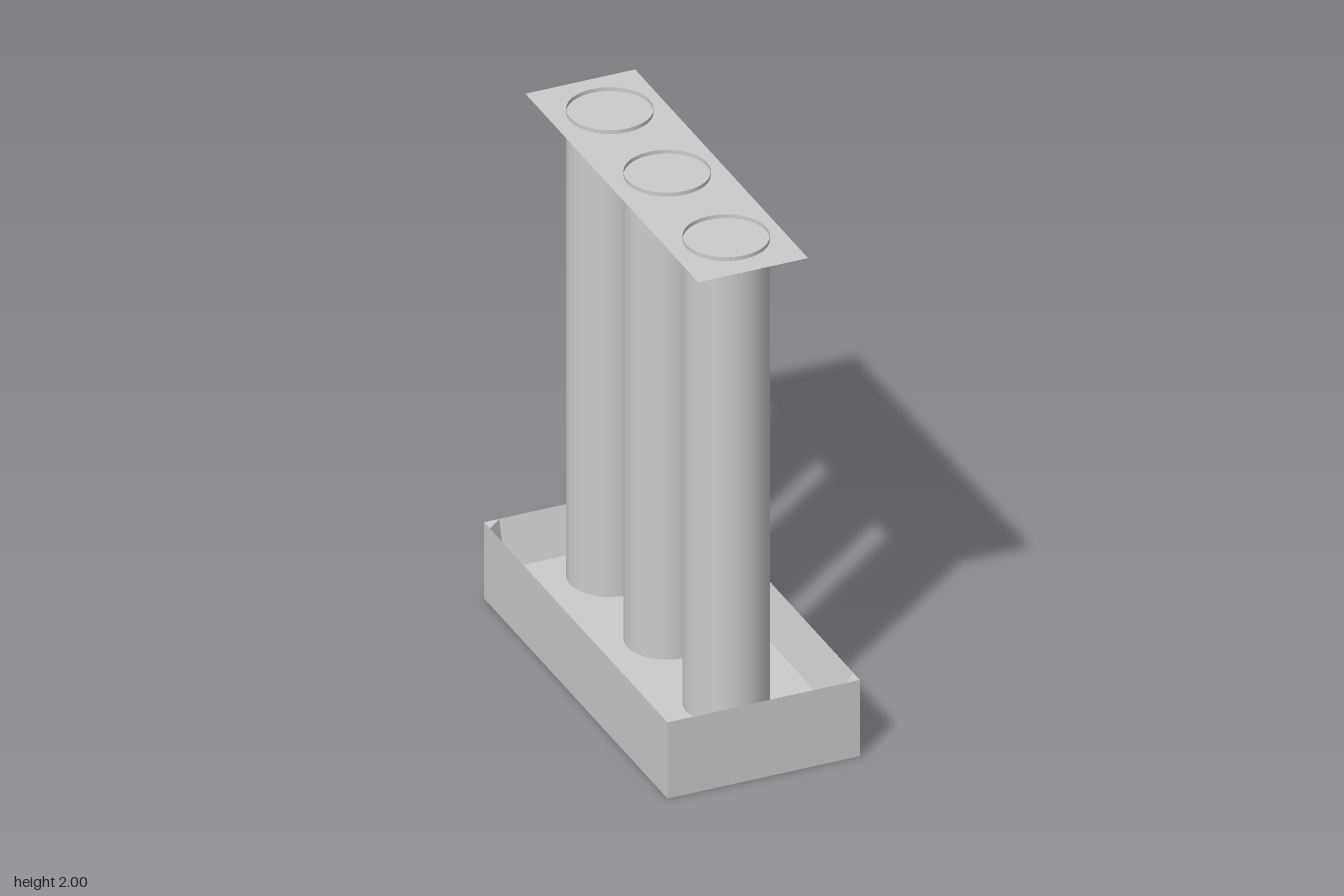
import * as THREE from 'three';

const material = new THREE.MeshStandardMaterial({ color: 0xcccccc, side: THREE.DoubleSide });

// Outer shell of the basin, inner floor rectangle and heights
const OUT = { x: 0.368, z: 0.78 };
const FLOOR = { x0: -0.31, x1: 0.32, z0: -0.73, z1: 0.72 };
const RIM_Y = 0.305, FLOOR_Y = 0.13;

function addMesh(parent, name, geometry) {
  const mesh = new THREE.Mesh(geometry, material);
  mesh.name = name;
  parent.add(mesh);
  return mesh;
}

// Flat-faced geometry from a list of convex polygons (corners counter-clockwise from outside)
function facesGeometry(faces) {
  const pos = [];
  for (const f of faces)
    for (let i = 1; i < f.length - 1; i++) pos.push(...f[0], ...f[i], ...f[i + 1]);
  const g = new THREE.BufferGeometry();
  g.setAttribute('position', new THREE.Float32BufferAttribute(pos, 3));
  g.computeVertexNormals();
  return g;
}

function createBasin() {
  const { x0, x1, z0, z1 } = FLOOR;
  // corner signs, counter-clockwise seen from above
  const signs = [[-1, 1], [1, 1], [1, -1], [-1, -1]];
  const corners = signs.map(([sx, sz]) => {
    const fx = sx > 0 ? x1 : x0, fz = sz > 0 ? z1 : z0;
    const ox = sx * OUT.x, oz = sz * OUT.z;
    const onX = [ox, RIM_Y, fz], onZ = [fx, RIM_Y, oz];
    // rim points just before and after the corner, going round
    const [before, after] = sx * sz < 0 ? [onX, onZ] : [onZ, onX];
    return { base: [ox, 0, oz], top: [ox, RIM_Y, oz], floor: [fx, FLOOR_Y, fz], before, after };
  });
  const outer = [corners.map(c => c.base).reverse()];
  const inner = [corners.map(c => c.floor)];
  corners.forEach((c, i) => {
    const n = corners[(i + 1) % 4];
    outer.push([c.base, n.base, n.top, c.top]);
    inner.push([c.after, n.before, n.floor, c.floor]); // sloping side
    inner.push([c.before, c.after, c.floor]);          // slanted corner
    inner.push([c.before, c.top, c.after]);            // flat corner of the rim
  });
  const basin = new THREE.Group();
  basin.name = 'basin';
  addMesh(basin, 'basinShell', facesGeometry(outer));
  addMesh(basin, 'basinInside', facesGeometry(inner));
  return basin;
}

export function createModel() {
  const model = new THREE.Group();
  model.name = 'columnsInBasin';
  model.add(createBasin());

  // Three open tubes standing on the basin floor
  const height = 2 - FLOOR_Y;
  const tube = new THREE.CylinderGeometry(0.153, 0.153, height, 32, 1, true);
  [0.4525, -0.05, -0.5375].forEach((z, i) => {
    addMesh(model, `column${i + 1}`, tube).position.set(0.004, FLOOR_Y + height / 2, z);
  });

  // Thin plate just below the tube rims
  const plate = new THREE.PlaneGeometry(0.42, 1.47).rotateX(-Math.PI / 2);
  addMesh(model, 'topPlate', plate).position.set(0, 1.985, -0.045);
  return model;
}
